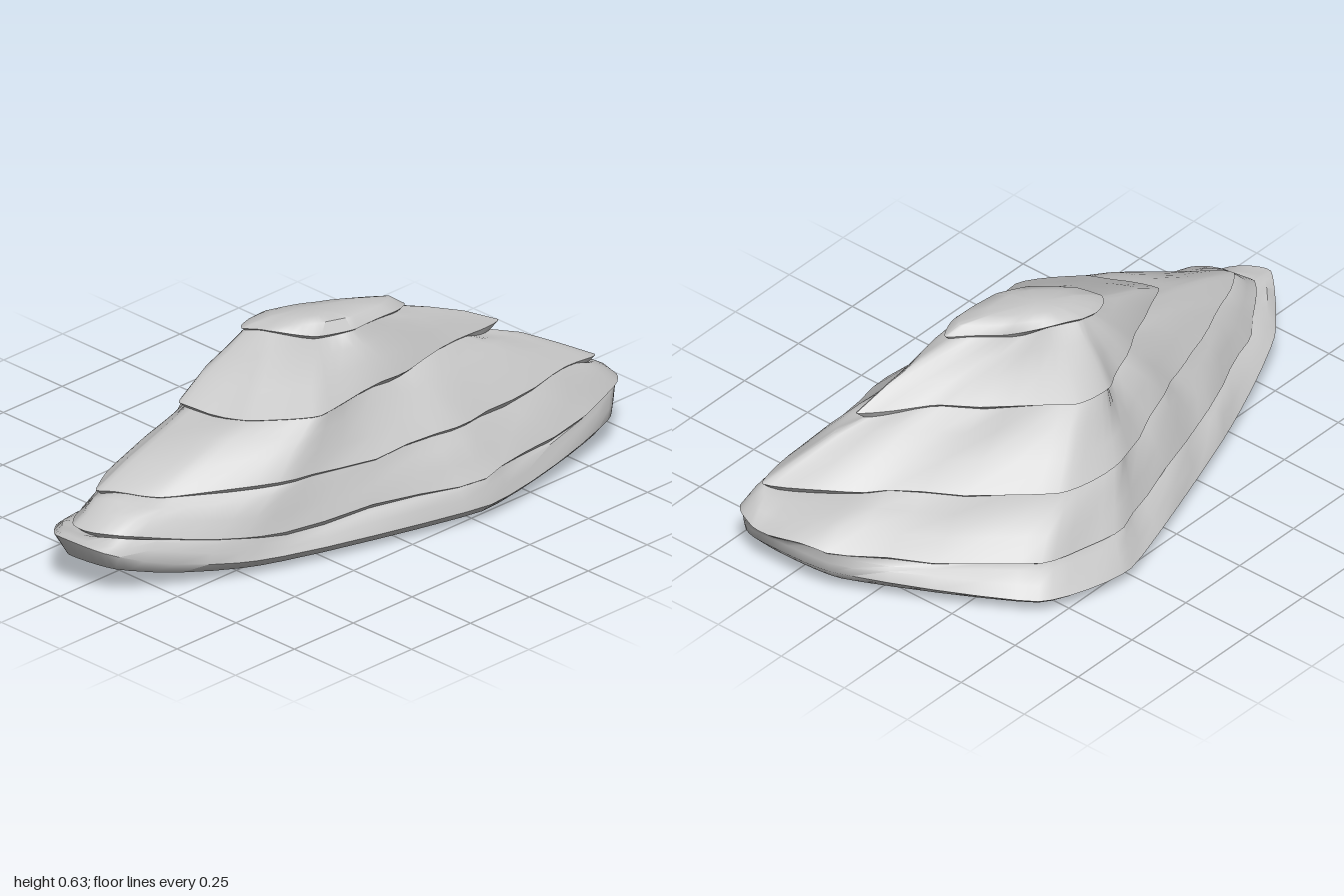
import * as THREE from 'three';
import { toCreasedNormals } from 'three/addons/utils/BufferGeometryUtils.js';

const STEPS = 6; // samples between neighbouring outline points

// Outlines as [x, z], running left tip, back, right end, front
const baseOutline = [[-1, -0.02], [-0.83, -0.18], [-0.4, -0.345], [0.28, -0.56], [0.6, -0.465], [0.93, 0.08],
  [0.95, 0.36], [0.88, 0.45], [0.28, 0.555], [-0.5, 0.34], [-0.94, 0.13]];
const lowerOutline = [[-0.93, -0.02], [-0.75, -0.15], [-0.4, -0.285], [0.22, -0.475], [0.53, -0.415], [0.945, 0.08],
  [1, 0.33], [0.92, 0.44], [0.28, 0.525], [-0.48, 0.335], [-0.86, 0.14]];
const middleOutline = [[-0.83, -0.02], [-0.66, -0.11], [-0.35, -0.21], [0.12, -0.385], [0.36, -0.34], [0.74, 0.1],
  [0.91, 0.37], [0.75, 0.39], [0.25, 0.43], [-0.35, 0.35], [-0.7, 0.14]];
const upperOutline = [[-0.46, -0.04], [-0.35, -0.09], [-0.2, -0.15], [0.02, -0.25], [0.16, -0.235], [0.43, 0.07],
  [0.63, 0.24], [0.5, 0.25], [0.2, 0.27], [-0.2, 0.31], [-0.38, 0.17]];
const summitOutline = [[-0.17, -0.06], [-0.14, -0.09], [-0.1, -0.105], [-0.04, -0.1], [0.03, -0.06], [0.18, 0.04],
  [0.3, 0.16], [0.22, 0.19], [0.08, 0.19], [-0.04, 0.13], [-0.14, 0.02]];

// Smooth bumps over the ground plane, from -1 to 1
function bumps(p, scale, phase) {
  return 0.6 * Math.sin(scale * p.x + phase + 2 * Math.sin(scale * 0.7 * p.z))
    + 0.4 * Math.sin(scale * 1.9 * p.z - scale * 1.3 * p.x + phase * 2);
}

// Turns an outline into a ring whose left and right ends rise
function makeRing(outline, height, leftLift, rightLift) {
  const curve = new THREE.CatmullRomCurve3(
    outline.map(([x, z]) => new THREE.Vector3(x, 0, z)), true, 'catmullrom', 0.22);
  const count = outline.length * STEPS;
  return Array.from({ length: count }, (_, i) => {
    const p = curve.getPoint(i / count);
    p.y = height + (p.x < 0 ? leftLift : rightLift) * p.x ** 4;
    return p;
  });
}

function centre(ring) {
  return ring.reduce((sum, p) => sum.add(p), new THREE.Vector3()).divideScalar(ring.length);
}

// Shrinks a ring towards its centre and sets its heights anew
function shrink(ring, k, height, lift = 0) {
  const c = centre(ring);
  return ring.map((p) => {
    const q = c.clone().lerp(p, k);
    q.y = height + (q.x < 0 ? lift : lift * 0.35) * q.x ** 4;
    return q;
  });
}

// Broken edge: makes the lip uneven and returns the recess under it
function breakLedge(lip, phase) {
  const c = centre(lip);
  return lip.map((p) => {
    const chip = bumps(p, 17, phase);
    const open = THREE.MathUtils.clamp(0.45 + 0.9 * bumps(p, 9, phase + 2), 0, 1);
    const inward = c.clone().sub(p).setY(0).normalize();
    p.addScaledVector(inward, 0.008 * chip);
    p.y += 0.011 * bumps(p, 13, phase + 4);
    const recess = p.clone().addScaledVector(inward, 0.006 + 0.024 * open);
    recess.y -= 0.004 + 0.022 * open;
    return recess;
  });
}

// Weathered ring part of the way up a slope
function weather(a, b, t, phase) {
  return a.map((p, i) => {
    const q = p.clone().lerp(b[i], t);
    q.y += 0.008 + 0.01 * bumps(q, 11, phase + t * 3);
    return q;
  });
}

// Skins a stack of rings, lowest first
function loft(rings) {
  const n = rings[0].length;
  const index = [];
  for (let r = 0; r < rings.length - 1; r++) {
    for (let i = 0; i < n; i++) {
      const a = r * n + i;
      const b = r * n + ((i + 1) % n);
      index.push(a, a + n, b, b, a + n, b + n);
    }
  }
  const geometry = new THREE.BufferGeometry().setFromPoints(rings.flat());
  geometry.setIndex(index);
  return toCreasedNormals(geometry, 0.85);
}

export function createModel() {
  const rock = new THREE.Group();
  rock.name = 'layeredRock';
  const stone = new THREE.MeshStandardMaterial({ color: 0xc4c4c4 });
  stone.name = 'paleGreyStone';

  const base = makeRing(baseOutline, 0.055, 0.145, 0.06);
  const lower = makeRing(lowerOutline, 0.14, 0.1, 0.055);
  const middle = makeRing(middleOutline, 0.28, 0.01, 0.01);
  const upper = makeRing(upperOutline, 0.44, 0, 0.1);
  const summit = makeRing(summitOutline, 0.588, 0, 0);
  const recesses = [lower, middle, upper, summit].map((lip, i) => breakLedge(lip, i * 1.7));

  function addStratum(name, rings) {
    const mesh = new THREE.Mesh(loft(rings), stone);
    mesh.name = name;
    rock.add(mesh);
  }
  const slope = (lip, top, phase) => [
    lip, weather(lip, top, 0.35, phase), weather(lip, top, 0.7, phase), top];

  // Base with a shallow bowl-shaped underside
  addStratum('baseStratum', [
    shrink(base, 0, 0), shrink(base, 0.4, 0.003), shrink(base, 0.78, 0.013, 0.08), shrink(base, 0.95, 0.028, 0.11),
    ...slope(base, recesses[0], 0.5),
  ]);

  // Overhanging layers, each sloping up to the recess of the next
  addStratum('lowerStratum', [recesses[0], ...slope(lower, recesses[1], 2)]);
  addStratum('middleStratum', [recesses[1], ...slope(middle, recesses[2], 3.5)]);
  addStratum('upperStratum', [recesses[2], ...slope(upper, recesses[3], 5)]);

  // Rounded summit, its top higher towards the front
  const cap = [[0.85, 0.606], [0.55, 0.619], [0, 0.624]].map(([k, height]) => {
    const ring = shrink(summit, k, height);
    ring.forEach((p) => { p.y += 0.1 * p.z; });
    return ring;
  });
  addStratum('summitStratum', [recesses[3], summit, ...cap]);
  return rock;
}
